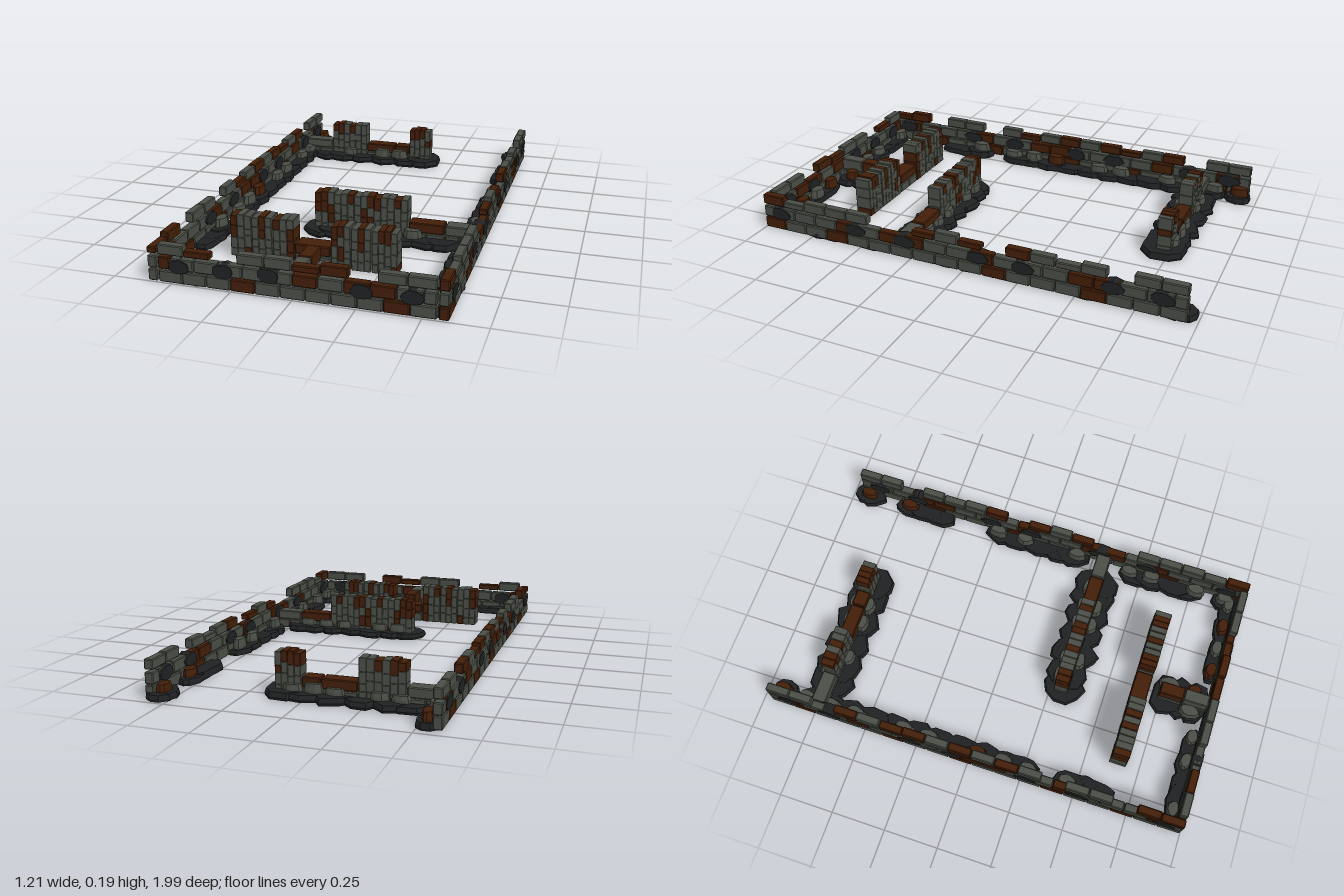
import * as THREE from 'three';
import { ConvexGeometry } from 'three/addons/geometries/ConvexGeometry.js';

const makeMat = (name, color) => {
  const m = new THREE.MeshStandardMaterial({ color });
  m.name = name;
  return m;
};

export function createModel() {
  const root = new THREE.Group();
  root.name = 'ruinedFoundations';
  const stone = makeMat('greyStone', 0x4a4e46);
  const rust = makeMat('brownStone', 0x421e09);
  const dark = makeMat('darkRock', 0x1f2122);

  let seed = 11;
  const rnd = (a = 0, b = 1) => {
    seed = (seed * 16807) % 2147483647;
    return a + (b - a) * (seed / 2147483647);
  };
  const group = (name) => {
    const g = new THREE.Group();
    g.name = name;
    root.add(g);
    return g;
  };
  const put = (parent, name, geo, mat, x, y, z) => {
    const m = new THREE.Mesh(geo, mat);
    m.name = name;
    m.position.set(x, y, z);
    parent.add(m);
    return m;
  };

  // Brick with chamfered edges, given by its lower and upper corner
  const brick = (parent, mat, x0, x1, y0, y1, z0, z1, c = 0.004) => {
    const h = [(x1 - x0) / 2, (y1 - y0) / 2, (z1 - z0) / 2];
    const pts = [];
    for (const sx of [-1, 1]) for (const sy of [-1, 1]) for (const sz of [-1, 1])
      for (let k = 0; k < 3; k++) {
        const q = h.map((v, i) => (i === k ? v : v - c));
        pts.push(new THREE.Vector3(sx * q[0], sy * q[1], sz * q[2]));
      }
    put(parent, 'brick', new ConvexGeometry(pts), mat, (x0 + x1) / 2, (y0 + y1) / 2, (z0 + z1) / 2);
  };

  // Irregular flat-faced slab from rings of [height, scale] around the y axis
  const slab = (parent, name, mat, x, y, z, rx, rz, rings) => {
    const n = 9, turn = rnd(0, 6), pts = [];
    for (let i = 0; i < n; i++) {
      const a = turn + ((i + rnd(-0.2, 0.2)) / n) * Math.PI * 2, r = rnd(0.9, 1.1);
      for (const [h, s] of rings)
        pts.push(new THREE.Vector3(Math.cos(a) * r * s * rx, h, Math.sin(a) * r * s * rz));
    }
    return put(parent, name, new ConvexGeometry(pts), mat, x, y, z);
  };
  const flatRock = (parent, x, z, rx, rz) =>
    slab(parent, 'flatRock', dark, x, 0, z, rx, rz, [[0, 0.97], [0.01, 1], [rnd(0.024, 0.032), 0.92]]);
  const chunk = (parent, mat, x, z, rx, rz) =>
    slab(parent, 'chunk', mat, x, 0.01, z, rx, rz, [[0, 1], [0.03, 1], [rnd(0.045, 0.06), 0.85]]);

  // Course of equal bricks: g grey, b brown, capitals thinner, dot for a gap;
  // a bonded course starts and ends with a half brick
  const course = (parent, alongX, from, to, side, y, h, pattern, bonded) => {
    const shift = bonded ? 0.5 : 0;
    const count = pattern.length - shift * 2;
    const at = (i) => from + ((to - from) * THREE.MathUtils.clamp(i - shift, 0, count)) / count;
    [...pattern].forEach((ch, i) => {
      if (ch === '.') return;
      const a = at(i), b = at(i + 1);
      const lo = Math.min(a, b) + 0.001, hi = Math.max(a, b) - 0.001;
      const mat = ch.toLowerCase() === 'b' ? rust : stone;
      const top = y + (ch < 'a' ? h * 0.6 : h * rnd(0.92, 1));
      const [s0, s1] = side;
      if (alongX) brick(parent, mat, lo, hi, y, top, s0, s1);
      else brick(parent, mat, s0, s1, y, top, lo, hi);
    });
  };

  // Outer walls: two full courses and a broken third
  const levels = [[0.003, 0.053], [0.059, 0.052], [0.119, 0.046]];
  const walls = [
    ['frontWall', true, -0.555, 0.555, [0.961, 0.999],
      ['gggbgggggbg', 'bgggggbgbbgg', 'gB.ggBb.gg']],
    ['rightWall', false, 0.999, -0.96, [0.562, 0.6],
      ['bggbggggggbgggbggg', 'ggggbgbbggbgggbbggg', 'bGggg..BgB.bgGg.gg']],
    ['leftWall', false, 0.999, -0.96, [-0.6, -0.562],
      ['ggbggbgggbggbgggbg', 'gbgggbggbbggggbggbg', 'Bb.gg.gBgbgbBgb.gg']],
  ];
  for (const [name, alongX, from, to, side, rows] of walls) {
    const g = group(name);
    rows.forEach((p, i) => course(g, alongX, from, to, side, levels[i][0], levels[i][1], p, i === 1));
  }

  // Dark boulders set through the outer walls
  const boulders = group('wallBoulders');
  const through = [[-0.024, 0.88], [0, 1], [0.024, 0.88]];
  for (const [x, y] of [[-0.465, 0.075], [-0.28, 0.08], [-0.093, 0.09], [0.272, 0.075], [0.465, 0.08]])
    slab(boulders, 'boulder', dark, x, y, 0.979, 0.05, 0.034, through).rotation.x = Math.PI / 2;
  for (const z of [0.91, 0.515, 0.275, -0.07, -0.275, -0.66, -0.86])
    for (const s of [-1, 1])
      slab(boulders, 'boulder', dark, s * 0.579, 0.083, z, 0.032, 0.058, through).rotation.z = Math.PI / 2;

  // Overlapping band of flat rubble along a line
  const rubble = (parent, alongX, from, to, mid, half) => {
    const n = Math.max(1, Math.round((to - from) / 0.11));
    const step = (to - from) / n;
    for (let i = 0; i < n; i++) {
      const l = n > 1 ? step * 0.82 : step * 0.55;
      const t = THREE.MathUtils.clamp(from + (i + 0.5) * step, from + l, to - l);
      const w = half * rnd(0.9, 1.06);
      if (alongX) flatRock(parent, t, mid, l, w);
      else flatRock(parent, mid, t, w, l);
    }
  };
  // Coloured chunks leaning on the inner face of a wall: g grey, b brown, dot none
  const chunks = (parent, alongX, from, to, mid, pattern) => {
    const step = (to - from) / pattern.length;
    [...pattern].forEach((ch, i) => {
      if (ch === '.') return;
      const t = from + (i + 0.5) * step, mat = ch === 'b' ? rust : stone;
      if (alongX) chunk(parent, mat, t, mid, 0.04, 0.026);
      else chunk(parent, mat, mid, t, 0.026, 0.045);
    });
  };
  const sideRubble = group('sideWallRubble');
  for (const [a, b, tops] of [[-0.98, -0.86, 'b'], [-0.86, 0.33, 'ggg.gg.bgg'], [0.38, 0.68, 'g.']]) {
    rubble(sideRubble, false, a, b, -0.54, 0.056);
    chunks(sideRubble, false, a, b, -0.54, tops);
  }
  for (const [a, b, tops] of [[-1, -0.83, 'b'], [-0.78, -0.46, 'b.'], [-0.3, 0.24, 'gg.g'],
    [0.38, 0.82, 'gg.g'], [0.85, 0.97, 'g']]) {
    rubble(sideRubble, false, a, b, 0.542, 0.056);
    chunks(sideRubble, false, a, b, 0.54, tops);
  }
  const frontRubble = group('frontWallRubble');
  for (const [a, b, tops] of [[-0.57, -0.11, 'g.gg'], [0.11, 0.57, 'bgbg']]) {
    rubble(frontRubble, true, a, b, 0.945, 0.05);
    chunks(frontRubble, true, a, b, 0.936, tops);
  }

  // Upright section of small stones; the pattern colours the top stone of each column
  const tall = (parent, x0, x1, z0, z1, tops) => {
    const w = (x1 - x0) / tops.length;
    [...tops].forEach((ch, i) => {
      const top = 0.19 - (i % 3 === 0 ? 0.008 : rnd(0, 0.004));
      const cuts = [0.003, rnd(0.035, 0.055), rnd(0.08, 0.1), rnd(0.125, 0.148), top];
      for (let k = 0; k < 4; k++) {
        const brown = k === 3 ? ch === 'b' : rnd() < 0.2;
        brick(parent, brown ? rust : stone, x0 + i * w, x0 + (i + 1) * w,
          cuts[k], cuts[k + 1], z0 + rnd(0, 0.002), z1 - rnd(0, 0.002), 0.0015);
      }
    });
  };
  // Collapsed section of two long low courses
  const low = (parent, x0, x1, z0, z1, mat) => {
    const mid = (x0 + x1) / 2;
    brick(parent, stone, x0, mid - 0.001, 0.003, 0.045, z0, z1);
    brick(parent, stone, mid + 0.001, x1, 0.003, 0.045, z0, z1);
    brick(parent, mat, x0, x1, 0.047, 0.09, z0, z1);
  };

  // Inner walls: [start, end, tall column colours or a low section's material]
  const inner = [
    ['frontInnerWall', 0.61, 0.688, [[-0.388, -0.295, 'bgg'], [-0.292, -0.205, 'gbg'], [-0.2, -0.11, 'bgg'],
      [-0.105, 0.045, rust], [0.05, 0.13, 'bbg'], [0.135, 0.215, 'gbg'], [0.22, 0.324, 'gbbg']]],
    ['middleInnerWall', 0.268, 0.335, [[-0.145, 0.275, 'bbgggbggbbggbg'],
      [0.28, 0.435, rust], [0.44, 0.56, stone]]],
    ['backInnerWall', -0.765, -0.7, [[-0.56, -0.415, stone], [-0.41, -0.22, 'bbgbgg'],
      [-0.215, -0.065, rust], [-0.06, 0.015, rust], [0.02, 0.13, 'bbbg']]],
  ];
  for (const [name, z0, z1, sections] of inner) {
    const g = group(name);
    for (const [a, b, kind] of sections) {
      if (typeof kind === 'string') tall(g, a, b, z0, z1, kind);
      else low(g, a, b, z0, z1, kind);
    }
  }

  // Rubble footings under the two rear inner walls
  const footings = group('innerWallRubble');
  for (const [a, b, z] of [[-0.2, 0.52, 0.308], [-0.52, 0.18, -0.726]]) {
    rubble(footings, true, a, b, z, 0.108);
    chunks(footings, true, a + 0.08, b - 0.08, z + 0.036, '.g.gg.');
    chunks(footings, true, a + 0.08, b - 0.08, z - 0.036, 'gg.ggg');
  }

  // Short pier behind the front wall, with rubble on both sides
  const pier = group('frontPier');
  for (const [z0, z1, mat] of [[0.735, 0.845, rust], [0.848, 0.96, stone]]) {
    brick(pier, stone, -0.032, 0.025, 0.003, 0.055, z0, z1);
    brick(pier, mat, -0.032, 0.025, 0.058, 0.115, z0, z1);
  }
  rubble(pier, false, 0.7, 0.98, 0, 0.108);
  chunk(pier, stone, 0.045, 0.775, 0.034, 0.052);
  chunk(pier, rust, 0.045, 0.89, 0.03, 0.036);
  chunk(pier, stone, -0.055, 0.89, 0.032, 0.05);
  return root;
}
